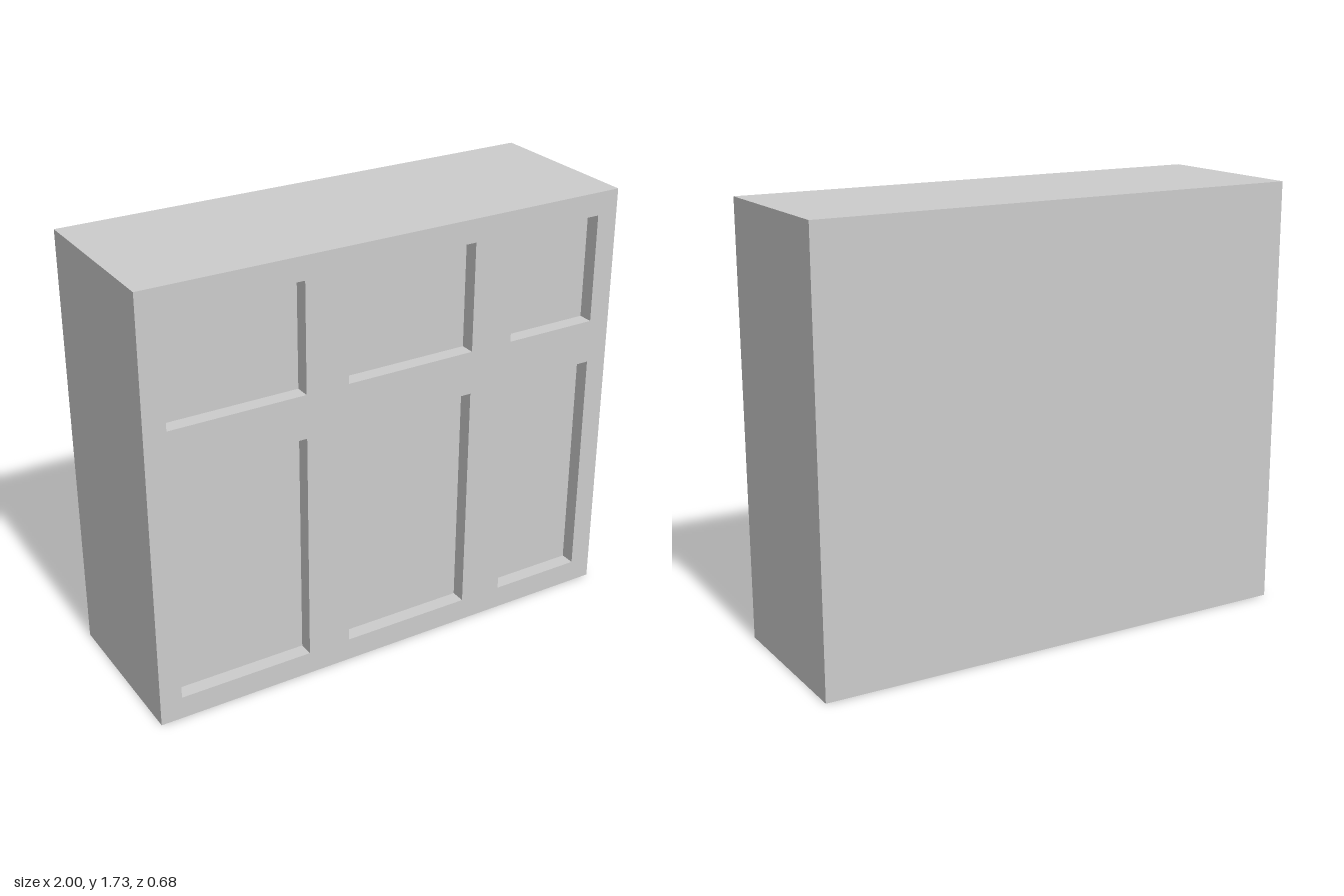
import * as THREE from 'three';

const W = 2, H = 1.73, D = 0.68, RECESS = 0.06;

// Column and row spans of the recessed panels
const columns = [[-0.912, -0.366], [-0.19, 0.348], [0.526, 0.912]];
const rows = [[0.092, 1.028], [1.203, 1.638]];

function rectangle(path, x0, y0, x1, y1) {
  path.moveTo(x0, y0);
  path.lineTo(x1, y0);
  path.lineTo(x1, y1);
  path.lineTo(x0, y1);
  path.closePath();
  return path;
}

export function createModel() {
  const group = new THREE.Group();
  group.name = 'panelledBlock';
  const material = new THREE.MeshStandardMaterial({ color: 0xcccccc, flatShading: true });

  // Solid body; its front face is the floor of every recess
  const body = new THREE.Mesh(new THREE.BoxGeometry(W, H, D - RECESS), material);
  body.name = 'body';
  body.position.set(0, H / 2, -RECESS / 2);
  group.add(body);

  // Front frame with one opening per panel
  const shape = rectangle(new THREE.Shape(), -W / 2, 0, W / 2, H);
  for (const [x0, x1] of columns) {
    for (const [y0, y1] of rows) {
      shape.holes.push(rectangle(new THREE.Path(), x0, y0, x1, y1));
    }
  }
  const frame = new THREE.Mesh(
    new THREE.ExtrudeGeometry(shape, { depth: RECESS, bevelEnabled: false }), material);
  frame.name = 'frontFrame';
  frame.position.z = D / 2 - RECESS;
  group.add(frame);

  return group;
}
